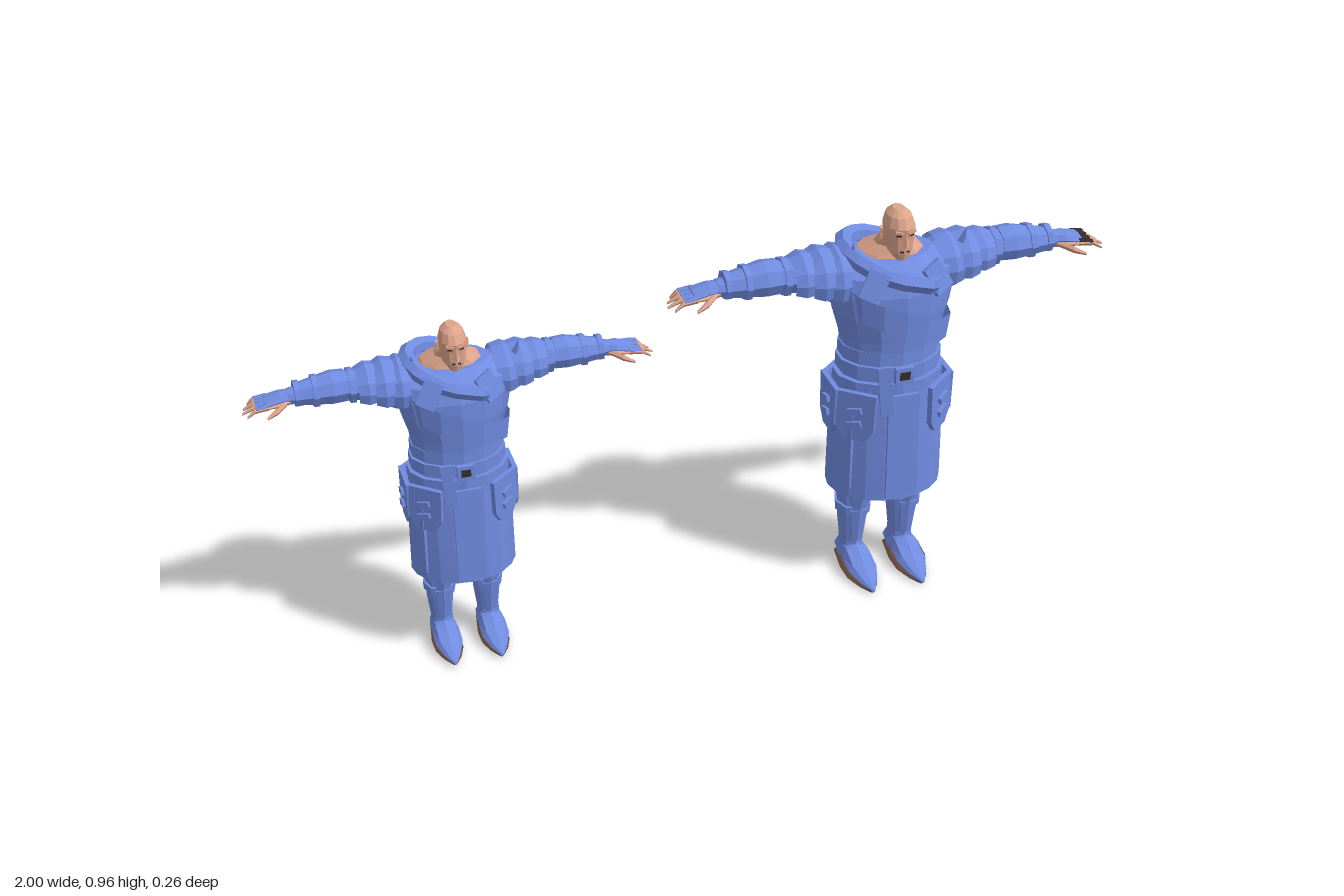
import * as THREE from 'three';

const mat = (name, color, side = THREE.FrontSide) => {
  const m = new THREE.MeshStandardMaterial({ color, side });
  m.name = name;
  return m;
};
const rad = THREE.MathUtils.degToRad;

// Faceted skin over elliptical rings [x, y, z, radius1, radius2] stacked along an axis.
function loft(rings, { n = 10, axis = 'y', from = 0, to = 360, tilt = 0, power = 1 } = {}) {
  const closed = to - from === 360;
  const bend = v => Math.sign(v) * Math.abs(v) ** power;
  const rows = rings.map(([x, y, z, r1, r2]) => Array.from({ length: n + 1 }, (_, i) => {
    const a = rad(from + (to - from) * (i % (closed ? n : n + 1)) / n);
    const u = r1 * bend(Math.sin(a)), v = r2 * bend(Math.cos(a));
    if (axis === 'x') return new THREE.Vector3(x, y + u, z + v);
    if (axis === 'z') return new THREE.Vector3(x + u, y + v, z);
    return new THREE.Vector3(x + u, y + tilt * u, z + v);
  }));
  const tris = [];
  for (let j = 0; j < rows.length - 1; j++) for (let i = 0; i < n; i++) {
    const a = rows[j][i], b = rows[j][i + 1], c = rows[j + 1][i + 1], d = rows[j + 1][i];
    tris.push([a, b, c], [a, c, d]);
  }
  if (closed) [0, rows.length - 1].forEach((j, end) => {
    const c = new THREE.Vector3(...rings[j].slice(0, 3));
    for (let i = 0; i < n; i++) {
      tris.push(end ? [rows[j][i], rows[j][i + 1], c] : [rows[j][i + 1], rows[j][i], c]);
    }
  });
  // Turn all faces outwards
  const o = new THREE.Vector3(...rings[0].slice(0, 3));
  let volume = 0;
  for (const [a, b, c] of tris) {
    volume += a.clone().sub(o).dot(b.clone().sub(o).cross(c.clone().sub(o)));
  }
  if (volume < 0) tris.forEach(t => t.reverse());
  const g = new THREE.BufferGeometry().setFromPoints(tris.flat());
  g.computeVertexNormals();
  return g;
}

function buildWarrior(blue, skin, brown, dark, large) {
  const body = new THREE.Group();
  const add = (name, geo, material, pos = [0, 0, 0], rot = [0, 0, 0]) => {
    const g = geo.index ? geo.toNonIndexed() : geo;
    g.computeVertexNormals();
    const m = new THREE.Mesh(g, material);
    m.name = name;
    m.position.set(...pos);
    m.rotation.set(...rot);
    body.add(m);
    return m;
  };
  const box = (name, size, material, pos, rot) => add(name, new THREE.BoxGeometry(...size), material, pos, rot);

  // Head and face
  add('head', loft([[0, 0.848, 0.037, 0.014, 0.018], [0, 0.866, 0.024, 0.028, 0.036], [0, 0.9, 0.017, 0.034, 0.043],
    [0, 0.925, 0.016, 0.035, 0.047], [0, 0.947, 0.012, 0.028, 0.038], [0, 0.96, 0.01, 0.013, 0.02]], { n: 12 }), skin);
  add('nose', new THREE.ConeGeometry(0.009, 0.032, 4), skin, [0, 0.9, 0.061]);
  box('mouth', [0.022, 0.004, 0.008], dark, [0, 0.871, 0.055]);
  for (const s of [-1, 1]) {
    box('brow', [0.02, 0.006, 0.008], skin, [s * 0.014, 0.919, 0.058], [0, s * 0.3, s * 0.15]);
    box('eye', [0.012, 0.004, 0.006], dark, [s * 0.014, 0.911, 0.055], [0, s * 0.3, 0]);
    box('ear', [0.007, 0.026, 0.015], skin, [s * 0.036, 0.9, 0.004], [0, s * 0.4, 0]);
  }
  add('neck', loft([[0, 0.815, -0.04, 0.1, 0.074], [0, 0.845, -0.036, 0.075, 0.058],
    [0, 0.865, -0.02, 0.042, 0.036], [0, 0.9, 0, 0.03, 0.03]]), skin);
  if (large) box('hairTail', [0.022, 0.045, 0.016], dark, [0.006, 0.888, -0.035], [0.1, 0, 0]);

  // Torso, sash and cowl
  add('torso', loft([[0, 0.5, -0.01, 0.122, 0.093], [0, 0.6, -0.01, 0.115, 0.09], [0, 0.65, -0.01, 0.12, 0.094],
    [0, 0.71, -0.01, 0.138, 0.1], [0, 0.77, -0.014, 0.15, 0.103], [0, 0.81, -0.02, 0.15, 0.097],
    [0, 0.838, -0.034, 0.1, 0.068]], { n: 14 }), blue);
  add('chestSash', loft([[0, 0.67, -0.01, 0.135, 0.104], [0, 0.735, -0.01, 0.143, 0.108]],
    { n: 16, from: -90, to: 270.01, tilt: -0.4 }), blue);
  const cowl = new THREE.CatmullRomCurve3([[0.06, 0.79, 0.078], [-0.03, 0.815, 0.07], [-0.095, 0.845, 0.02], [-0.105, 0.855, -0.055],
    [-0.055, 0.848, -0.105], [0.03, 0.82, -0.11]].map(p => new THREE.Vector3(...p)));
  add('cowl', new THREE.TubeGeometry(cowl, 12, 0.022, 6), blue);
  add('cowlEnd', new THREE.SphereGeometry(0.022, 6, 4), blue, [0.03, 0.82, -0.11]);
  add('cowlEnd', new THREE.SphereGeometry(0.022, 6, 4), blue, [0.06, 0.79, 0.078]);
  for (const s of [-1, 1]) box('lapel', [0.05, 0.07, 0.012], blue, [s * 0.075, 0.805, 0.075], [-0.35, s * 0.3, s * 0.5]);

  // Belts and buckle
  for (const [y, r] of [[0.535, 0.131], [0.575, 0.125], [0.612, 0.121]]) {
    add('belt', loft([[0, y - 0.016, -0.01, r, r - 0.029], [0, y + 0.016, -0.01, r, r - 0.029]], { n: 14 }), blue);
  }
  box('buckle', [0.045, 0.04, 0.012], blue, [0, 0.575, 0.092]);
  box('buckleGap', [0.025, 0.02, 0.004], dark, [0, 0.575, 0.0975]);
  box('beltEnd', [0.03, 0.13, 0.008], blue, [-0.045, 0.54, 0.096], [0, -0.15, 0.1]);

  // Long skirt, open at the left thigh
  add('skirt', loft([[0, 0.54, -0.01, 0.128, 0.1], [0, 0.46, -0.01, 0.135, 0.103], [0, 0.35, -0.01, 0.137, 0.109],
    [0, 0.245, -0.01, 0.138, 0.113]], { n: 18, from: 124, to: 453 }), blue);
  box('frontPanel', [0.075, 0.27, 0.008], blue, [0, 0.39, 0.1], [-0.03, 0, 0]);
  box('hangingStrap', [0.03, 0.2, 0.012], blue, [-0.117, 0.37, 0.05], [0, -0.9, 0]);

  // Rounded hip flaps with two clasps each
  const flapShape = new THREE.Shape();
  flapShape.moveTo(-0.05, 0.065).lineTo(0.05, 0.065).lineTo(0.046, -0.03).lineTo(0.025, -0.06)
    .lineTo(-0.025, -0.06).lineTo(-0.046, -0.03);
  for (const deg of [-132, -90, -48, 48, 90, 132]) {
    const a = rad(deg), turn = Math.atan2(Math.sin(a) / 0.133, Math.cos(a) / 0.103);
    const flap = add('hipFlap', new THREE.ExtrudeGeometry(flapShape, { depth: 0.012, bevelEnabled: false }), blue,
      [0.133 * Math.sin(a), 0.465, -0.01 + 0.102 * Math.cos(a)], [0, turn, 0]);
    for (const y of [-0.015, 0.02]) {
      const clasp = new THREE.Mesh(new THREE.BoxGeometry(0.034, 0.015, 0.012), blue);
      clasp.name = 'clasp';
      clasp.position.set(0, y, 0.014);
      clasp.rotation.z = 0.25;
      flap.add(clasp);
    }
  }

  for (const s of [-1, 1]) {
    // Arm, layered shoulder plates and bracer
    const along = { axis: 'x', n: 8 };
    add('sleeve', loft([[s * 0.09, 0.775, -0.03, 0.06, 0.072], [s * 0.15, 0.79, -0.03, 0.062, 0.066], [s * 0.21, 0.805, -0.03, 0.043, 0.052],
      [s * 0.27, 0.808, -0.033, 0.036, 0.043], [s * 0.41, 0.8, -0.033, 0.02, 0.024]], along), blue);
    const big = s < 0 ? 1.08 : 1;
    for (const [x, y, r] of [[0.105, 0.79, 0.07], [0.145, 0.795, 0.066], [0.185, 0.8, 0.056]]) {
      add('shoulderPlate', loft([[s * x, y, -0.03, r * 0.9 * big, r * 1.05], [s * (x + 0.03), y, -0.03, r * big, r * 1.15],
        [s * (x + 0.055), y, -0.03, r * 0.85, r]], { axis: 'x', n: 8, from: -25, to: 205 }), blue);
    }
    add('shoulderSpike', new THREE.ConeGeometry(0.012, 0.045, 4), blue, [s * (s < 0 ? 0.1 : 0.165), 0.865, 0.005], [0.2, 0, -s * 0.2]);
    add('bracer', loft([[s * 0.265, 0.808, -0.033, 0.04, 0.046], [s * 0.3, 0.808, -0.033, 0.042, 0.048],
      [s * 0.39, 0.802, -0.033, 0.028, 0.031]], along), blue);
    for (const [x, r] of [[0.245, 0.045], [0.335, 0.041], [0.38, 0.033]]) {
      add('armStrap', loft([[s * x, 0.805, -0.033, r, r * 1.1], [s * (x + 0.014), 0.805, -0.033, r, r * 1.1]], along), blue);
    }

    // Hand with blue back, bare palm and fingers
    add('handBack', loft([[s * 0.4, 0.802, -0.033, 0.016, 0.02], [s * 0.43, 0.802, -0.032, 0.014, 0.028],
      [s * 0.468, 0.796, -0.032, 0.01, 0.031]], along), blue);
    add('palm', loft([[s * 0.4, 0.795, -0.031, 0.014, 0.019], [s * 0.43, 0.793, -0.03, 0.013, 0.028],
      [s * 0.468, 0.79, -0.03, 0.009, 0.03]], along), skin);
    for (let i = 0; i < 4; i++) {
      const z = -0.055 + i * 0.0165, tip = [0.508, 0.52, 0.525, 0.515][i], spread = (i - 1.5) * 0.005;
      add('finger', loft([[s * 0.46, 0.793, z, 0.008, 0.0075], [s * 0.495, 0.79, z + spread / 2, 0.007, 0.0065],
        [s * tip, 0.776, z + spread, 0.003, 0.003]], { axis: 'x', n: 5 }), skin);
      add('knuckle', loft([[s * 0.46, 0.799, z, 0.006, 0.008], [s * 0.492, 0.794, z + spread / 2, 0.005, 0.006]],
        { axis: 'x', n: 5 }), large && s > 0 ? dark : blue);
    }
    add('thumb', loft([[s * 0.415, 0.793, -0.016, 0.009, 0.01], [s * 0.44, 0.785, 0.006, 0.009, 0.009],
      [s * 0.468, 0.775, 0.019, 0.004, 0.004]], { axis: 'x', n: 5 }), skin);

    // Thigh, knee and boot
    const x = s * 0.063;
    add('thigh', loft([[x, 0.5, -0.03, 0.055, 0.055], [s * 0.07, 0.33, -0.035, 0.044, 0.044]], { n: 8 }), blue);
    add('bareKnee', loft([[s * 0.07, 0.335, -0.035, 0.04, 0.04], [x, 0.225, -0.035, 0.036, 0.038]], { n: 8 }), skin);
    add('bootShaft', loft([[x, 0.245, -0.032, 0.042, 0.047], [x, 0.18, -0.035, 0.039, 0.048], [x, 0.13, -0.037, 0.036, 0.045],
      [x, 0.07, -0.036, 0.029, 0.036], [x, 0.02, -0.036, 0.032, 0.038]], { n: 8 }), blue);
    for (const y of [0.225, 0.165]) {
      add('bootStrap', loft([[x, y - 0.012, -0.034, 0.043, 0.053], [x, y + 0.012, -0.034, 0.045, 0.054]], { n: 8 }), blue);
    }
    add('kneePlate', loft([[x, 0.18, 0.012, 0.02, 0.012], [x, 0.225, 0.014, 0.034, 0.02], [x, 0.265, 0.006, 0.022, 0.014]], { n: 6 }), blue);
    add('shinPlate', loft([[x, 0.08, 0, 0.014, 0.008], [x, 0.17, 0.008, 0.025, 0.012]], { n: 6 }), blue);
    add('foot', loft([[x, 0.027, -0.075, 0.026, 0.02], [x, 0.034, -0.035, 0.034, 0.028], [x, 0.036, 0.005, 0.036, 0.029],
      [x, 0.025, 0.05, 0.036, 0.019], [x, 0.016, 0.09, 0.022, 0.011], [x, 0.01, 0.125, 0.004, 0.004]], { axis: 'z', n: 8 }), blue);
    add('sole', loft([[x, 0.004, -0.076, 0.026, 0.004], [x, 0.004, 0.0, 0.038, 0.004], [x, 0.004, 0.05, 0.037, 0.004],
      [x, 0.004, 0.09, 0.023, 0.004], [x, 0.005, 0.12, 0.004, 0.003]], { axis: 'z', n: 8, power: 0.5 }), brown);
    if (large && s > 0) {
      add('outerShoe', loft([[0.07, 0.022, -0.078, 0.026, 0.02], [0.074, 0.024, -0.02, 0.034, 0.022],
        [0.077, 0.02, 0.03, 0.029, 0.016], [0.08, 0.008, 0.075, 0.01, 0.006]], { axis: 'z', n: 8 }), brown);
    }
  }
  return body;
}

export function createModel() {
  const blue = mat('blue cloth', 0x708be0, THREE.DoubleSide);
  const skin = mat('skin', 0xdda48b);
  const brown = mat('brown leather', 0x65493b);
  const dark = mat('dark', 0x332c2a);
  const model = new THREE.Group();
  // One tall figure and a smaller companion
  const tall = buildWarrior(blue, skin, brown, dark, true);
  tall.name = 'tallWarrior';
  tall.position.x = 0.467;
  const small = buildWarrior(blue, skin, brown, dark, false);
  small.name = 'smallWarrior';
  small.scale.setScalar(0.865);
  small.position.set(-0.55, 0.004, 0);
  model.add(tall, small);
  return model;
}
